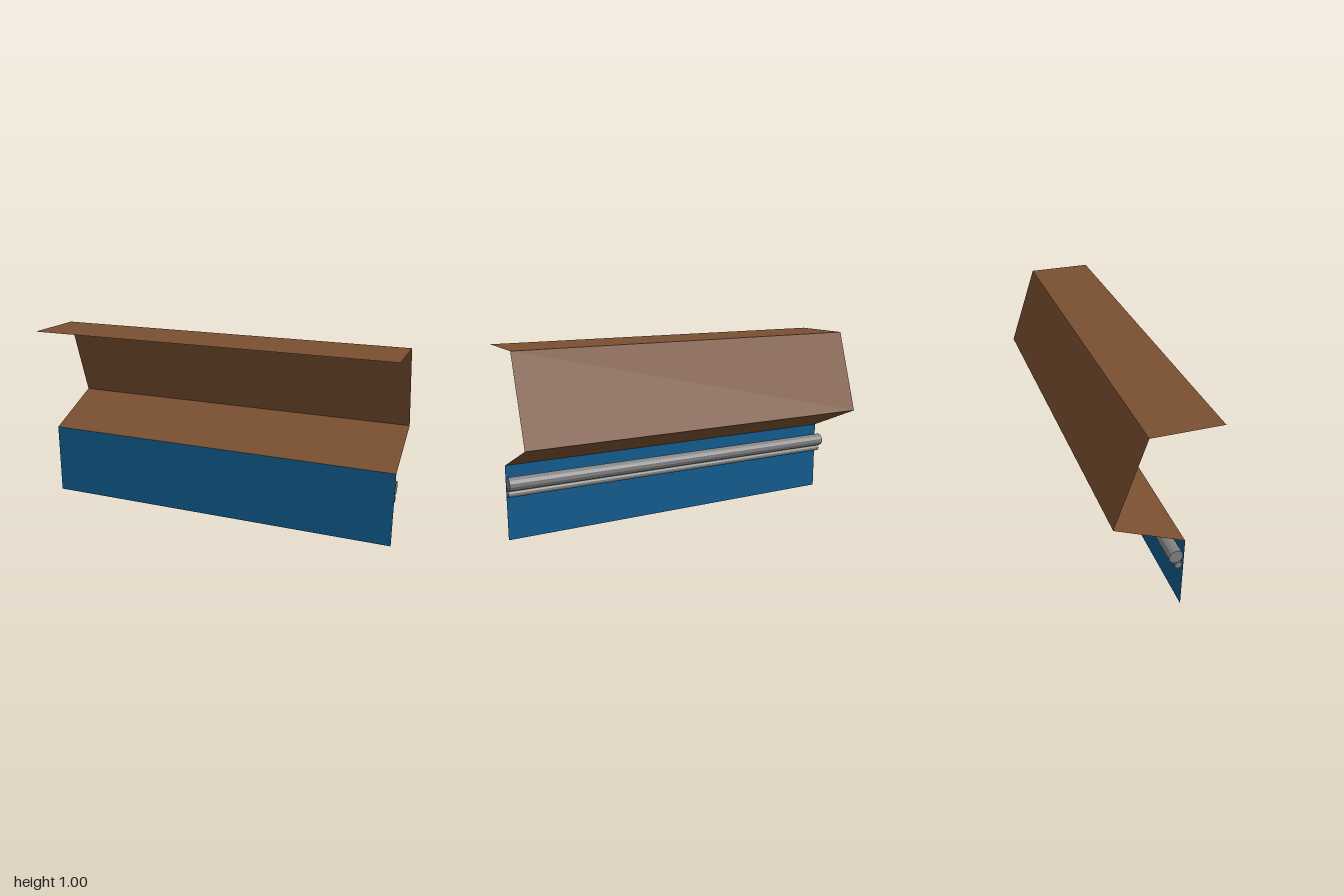
import * as THREE from 'three';

const WIDTH = 2;

// Thin sheet spanning the full width between two [y, z] profile points.
function sheet(name, a, b, material) {
  const dy = b[0] - a[0], dz = b[1] - a[1];
  const mesh = new THREE.Mesh(new THREE.PlaneGeometry(WIDTH, Math.hypot(dy, dz)), material);
  mesh.name = name;
  mesh.position.set(0, (a[0] + b[0]) / 2, (a[1] + b[1]) / 2);
  mesh.rotation.x = Math.atan2(dz, dy);
  return mesh;
}

// Faceted rod lying along x.
function rod(name, radius, y, z, material) {
  const geometry = new THREE.CylinderGeometry(radius, radius, WIDTH, 12);
  geometry.rotateY(Math.PI / 12);
  geometry.rotateZ(Math.PI / 2);
  const mesh = new THREE.Mesh(geometry, material);
  mesh.name = name;
  mesh.position.set(0, y, z);
  return mesh;
}

export function createModel() {
  const brown = new THREE.MeshStandardMaterial({ name: 'brown', color: 0x7a4f30, side: THREE.DoubleSide });
  const blue = new THREE.MeshStandardMaterial({ name: 'blue', color: 0x0f5b8d, side: THREE.DoubleSide });
  const grey = new THREE.MeshStandardMaterial({ name: 'grey', color: 0x808080, flatShading: true });

  const model = new THREE.Group();
  model.name = 'counterWithCanopy';

  // Folded profile, from the floor up to the lip of the canopy
  const foot = [0, 0.1], counterEdge = [0.4, 0.1], seam = [0.55, -0.25];
  const ridge = [1, -0.1], lip = [1, 0.247];
  model.add(
    sheet('frontPanel', foot, counterEdge, blue),
    sheet('slopedShelf', counterEdge, seam, brown),
    sheet('backPanel', seam, ridge, brown),
    sheet('canopy', ridge, lip, brown),
  );

  // Pipes behind the front panel
  model.add(
    rod('largePipe', 0.036, 0.31, 0.061, grey),
    rod('smallPipe', 0.0185, 0.255, 0.076, grey),
  );
  return model;
}
